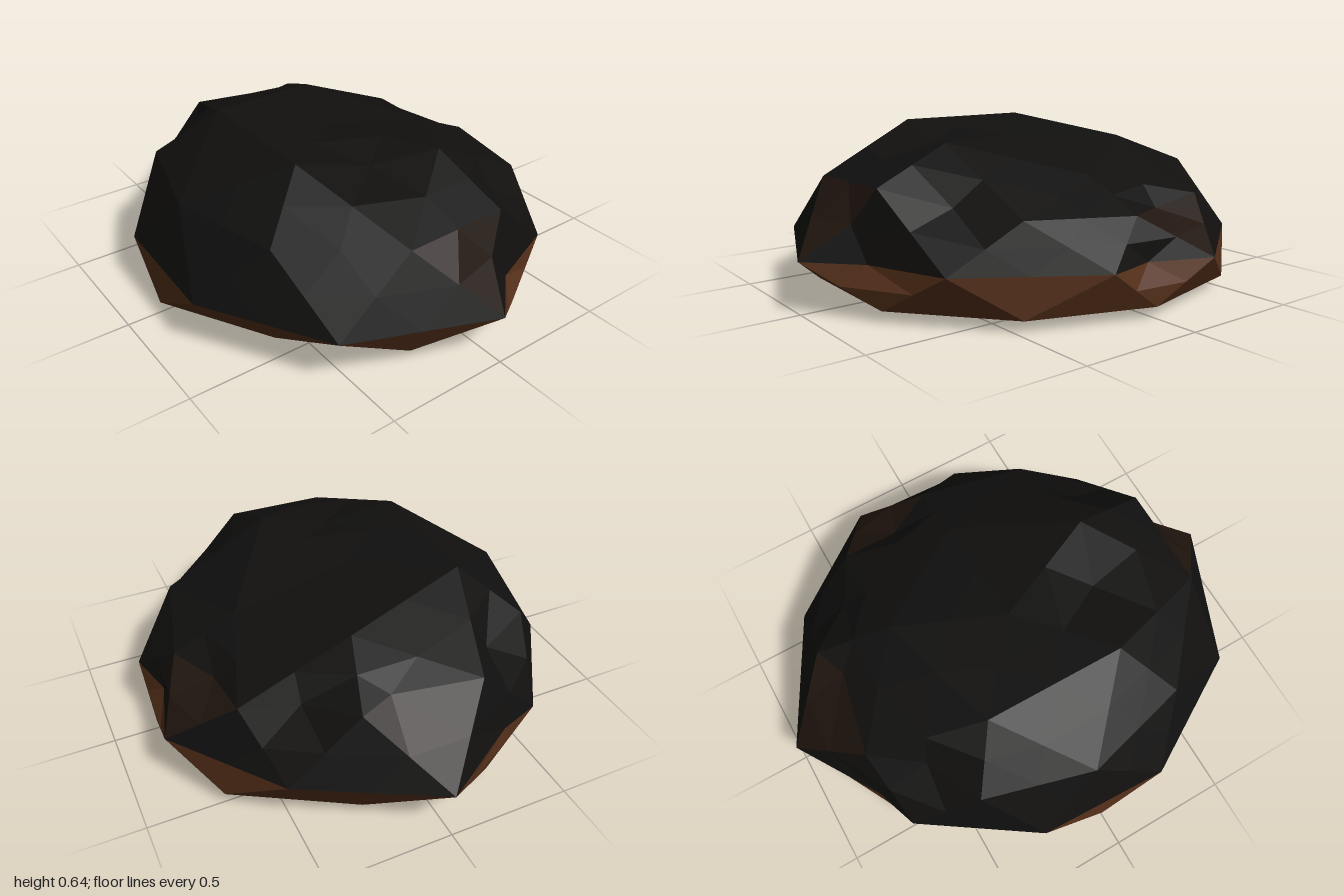
import * as THREE from 'three';

const vec = (x, y, z) => new THREE.Vector3(x, y, z);

// Ring of points around y; angles run from +x towards the front
const ring = (start, radii, heights) => radii.map((r, i) => {
  const angle = THREE.MathUtils.degToRad(start + (i * 360) / radii.length);
  const y = Array.isArray(heights) ? heights[i] : heights;
  return vec(Math.cos(angle) * r, y, Math.sin(angle) * r);
});

// Splits each triangle in four; the middle of a dented edge moves to its dent
function facets(name, color, triangles, dents) {
  const middle = (a, b) => {
    const dent = dents.find(([p, q]) => (p === a && q === b) || (p === b && q === a));
    return dent ? dent[2] : a.clone().lerp(b, 0.5);
  };
  const points = triangles.flatMap(([a, b, c]) => {
    const ab = middle(a, b), bc = middle(b, c), ca = middle(c, a);
    return [a, ab, ca, ab, b, bc, ca, bc, c, ab, bc, ca];
  });
  const geometry = new THREE.BufferGeometry().setFromPoints(points);
  geometry.computeVertexNormals();
  const mesh = new THREE.Mesh(geometry, new THREE.MeshStandardMaterial({ color, flatShading: true }));
  mesh.name = name;
  return mesh;
}

export function createModel() {
  // Rings of a flattened geodesic ball, from bottom to top
  const bottom = vec(0, 0, 0);
  const belly = ring(36, [0.46, 0.46, 0.46, 0.46, 0.46], 0.015);
  const base = ring(0, [0.82, 0.81, 0.85, 0.84, 0.76, 0.86, 0.77, 0.85, 0.81, 0.86], 0.045);
  const equator = ring(18, [0.86, 0.86, 1, 0.955, 0.895, 0.87, 0.89, 1, 0.885, 0.89],
    [0.2, 0.2, 0.2, 0.2, 0.2, 0.2, 0.2, 0.2, 0.2, 0.19]);
  const shoulder = ring(0, [0.71, 0.74, 0.79, 0.81, 0.77, 0.74, 0.76, 0.79, 0.77, 0.74],
    [0.36, 0.38, 0.47, 0.46, 0.44, 0.45, 0.45, 0.47, 0.45, 0.38]);
  const crown = ring(0, [0.45, 0.48, 0.5, 0.49, 0.46], [0.475, 0.605, 0.64, 0.637, 0.57]);
  const top = vec(-0.05, 0.587, 0);
  equator[0].set(0.82, 0.2, 0.21);
  shoulder[2].set(0.18, 0.47, 0.77);

  // Chipped edges: both ends and where the middle sits instead
  const dents = [
    [equator[2], shoulder[2], vec(0.09, 0.33, 0.83)],
    [equator[1], equator[2], vec(0.19, 0.2, 0.82)],
    [equator[6], equator[7], vec(-0.35, 0.2, -0.78)],
    [equator[9], equator[0], vec(0.77, 0.2, 0)],
    [shoulder[1], shoulder[2], vec(0.35, 0.4, 0.56)],
    [shoulder[6], shoulder[7], vec(-0.38, 0.43, -0.56)],
    [shoulder[7], shoulder[8], vec(0.1, 0.46, -0.68)],
    [shoulder[8], shoulder[9], vec(0.39, 0.41, -0.54)],
    [shoulder[9], shoulder[0], vec(0.61, 0.35, -0.2)],
    [crown[1], crown[2], vec(-0.11, 0.57, 0.36)],
  ];

  const underside = [], rim = [], patches = [], crust = [];

  // Ten-sided bands below and above the widest line
  const brownCorners = [2, 7, 9]; // front tip, back tip and the left flank
  for (let i = 0; i < 10; i++) {
    const j = (i + 1) % 10;
    rim.push([base[j], base[i], equator[i]], [base[j], equator[i], equator[j]]);
    (brownCorners.includes(i) ? patches : crust).push([equator[i], shoulder[i], shoulder[j]]);
    crust.push([equator[j], equator[i], shoulder[j]]);
  }

  // Five-sided caps
  for (let i = 0; i < 5; i++) {
    const j = (i + 1) % 5, a = 2 * i, b = a + 1, c = (a + 2) % 10;
    underside.push(
      [bottom, belly[i], belly[j]],
      [belly[j], belly[i], base[c]],
      [belly[i], base[a], base[b]],
      [belly[i], base[b], base[c]],
    );
    crust.push(
      [shoulder[b], shoulder[a], crown[i]],
      [shoulder[c], shoulder[b], crown[j]],
      [shoulder[b], crown[i], crown[j]],
      [crown[j], crown[i], top],
    );
  }

  const group = new THREE.Group();
  group.name = 'rock';
  group.add(
    facets('underside', 0x80461f, underside, dents),
    facets('lowerRim', 0x55301a, rim, dents),
    facets('brownPatches', 0x21160f, patches, dents),
    facets('darkCrust', 0x11100f, crust, dents),
  );
  return group;
}
